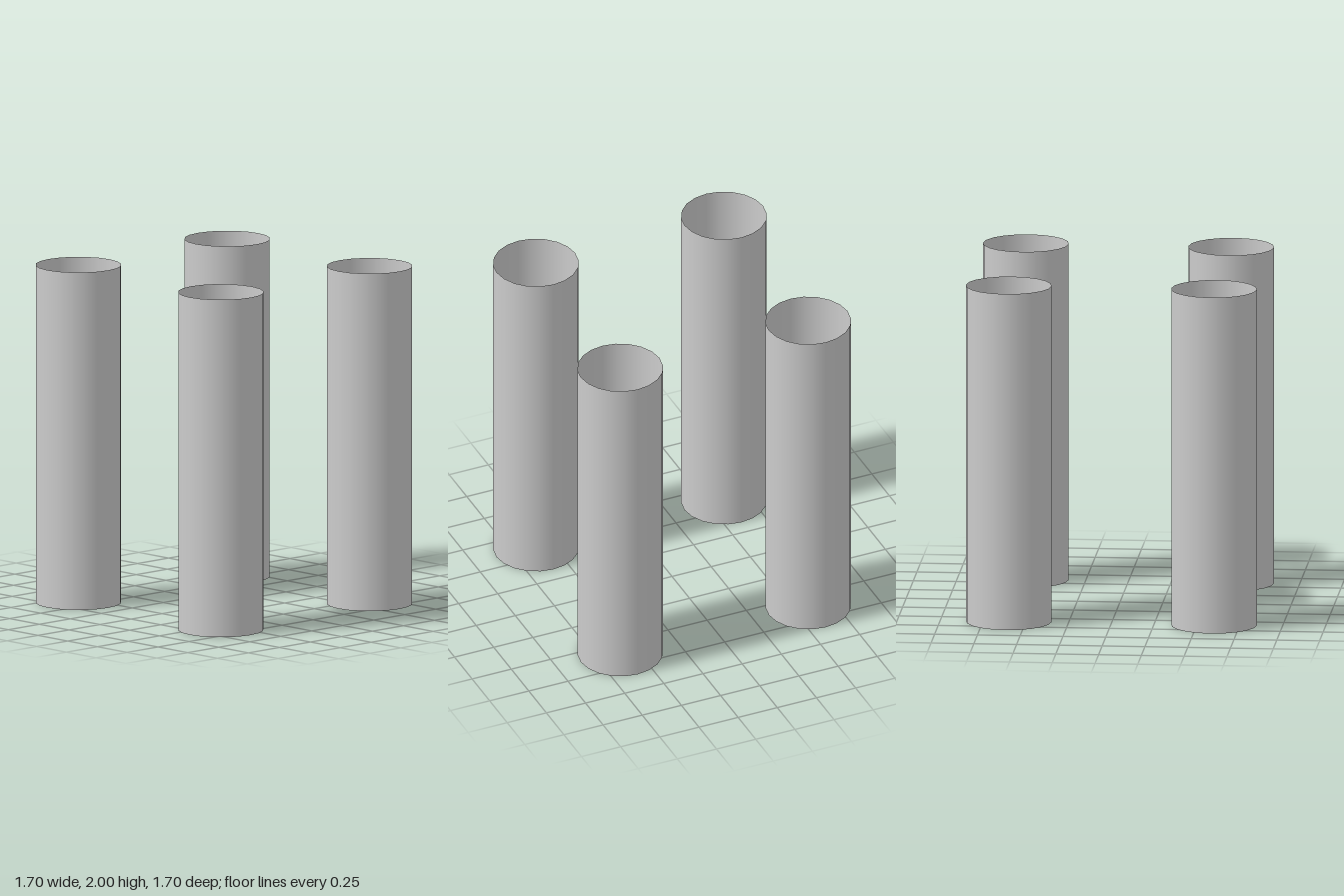
import * as THREE from 'three';

export function createModel() {
  const model = new THREE.Group();
  model.name = 'fourTubes';

  // Open-ended, thin-walled tube shared by all four corners
  const material = new THREE.MeshStandardMaterial({ color: 0xcccccc, side: THREE.DoubleSide });
  const tube = new THREE.CylinderGeometry(0.25, 0.25, 2, 20, 1, true);

  for (const [zName, z] of [['front', 0.6], ['back', -0.6]]) {
    for (const [xName, x] of [['Left', 0.6], ['Right', -0.6]]) {
      const mesh = new THREE.Mesh(tube, material);
      mesh.name = `${zName}${xName}Tube`;
      mesh.position.set(x, 1, z);
      model.add(mesh);
    }
  }
  return model;
}
